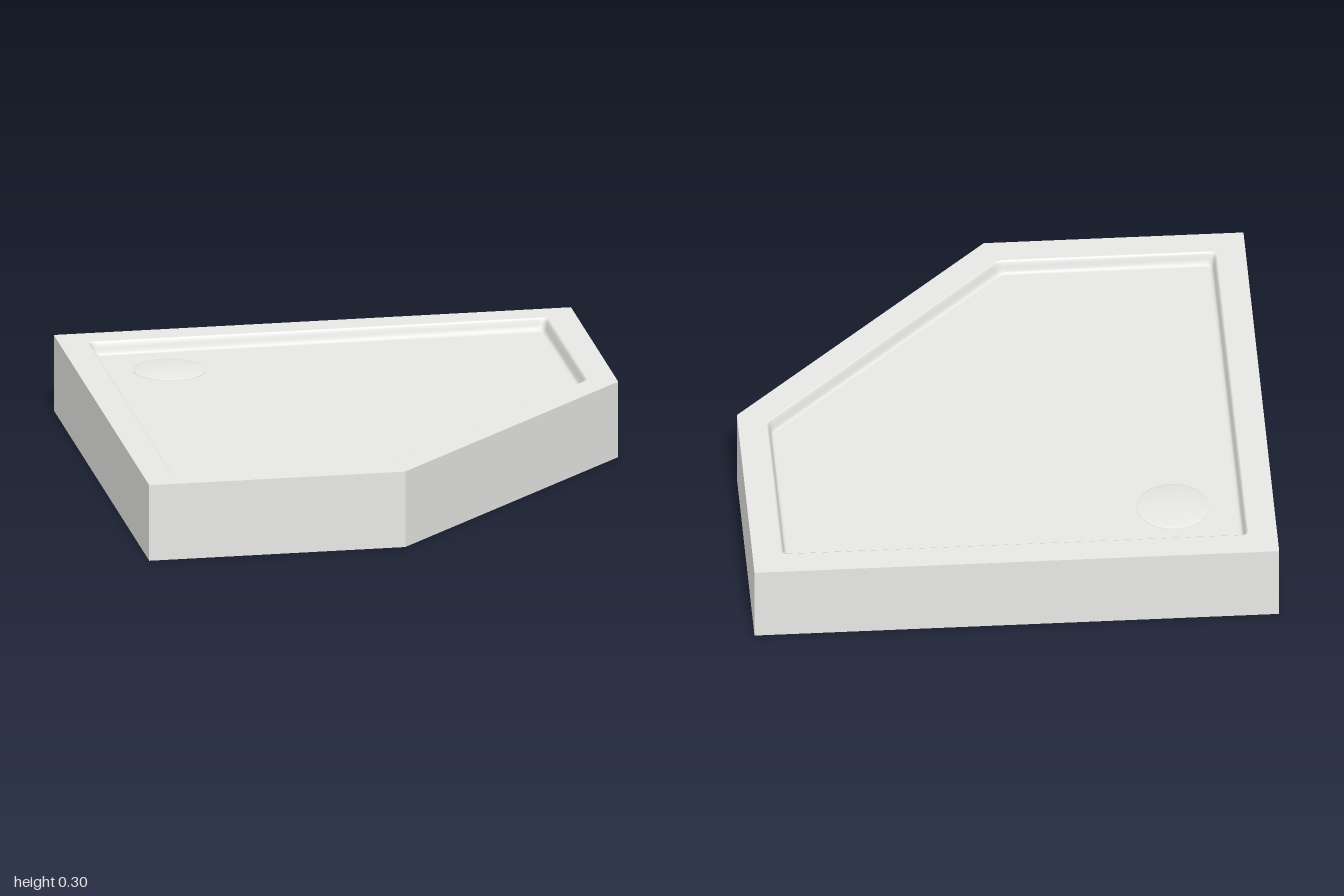
import * as THREE from 'three';

const DRAIN = { x: -0.62, z: -0.63 };

// Corner points [x, z] of the five-sided plan, inset by d from the outside edge
function plan(d) {
  const k = 0.99 - Math.SQRT2 * d, e = 1 - d;
  return [[-e, -e], [e, -e], [e, k - e], [k - e, e], [-e, e]];
}

// The same plan with softly rounded corners
function roundPlan(d, r = 0.025, steps = 5) {
  const p = plan(d).map(([x, z]) => new THREE.Vector2(x, z));
  const out = [];
  p.forEach((c, i) => {
    const prev = p[(i + p.length - 1) % p.length], next = p[(i + 1) % p.length];
    const a = c.clone().add(prev.clone().sub(c).setLength(r));
    const b = c.clone().add(next.clone().sub(c).setLength(r));
    const curve = new THREE.QuadraticBezierCurve(a, c, b);
    curve.getPoints(steps).forEach((q) => out.push([q.x, q.y]));
  });
  return out;
}

function arc(r, from, to, n) {
  return Array.from({ length: n + 1 }, (_, i) => {
    const t = from + ((to - from) * i) / n;
    return [DRAIN.x + r * Math.cos(t), DRAIN.z + r * Math.sin(t)];
  });
}

// Upright prism over an [x, z] outline, with an optional hole wound the other way
function prism(outline, hole, y0, y1) {
  const vec = (pts) => pts.map(([x, z]) => new THREE.Vector2(x, -z));
  const shape = new THREE.Shape(vec(outline));
  if (hole) shape.holes.push(new THREE.Path(vec(hole).reverse()));
  const g = new THREE.ExtrudeGeometry(shape, { depth: y1 - y0, bevelEnabled: false });
  return g.rotateX(-Math.PI / 2).translate(0, y0, 0);
}

// Smooth band through rounded outlines, rows are [inset, y]
function basinBand(rows) {
  const pos = [], idx = [];
  let n = 0;
  rows.forEach(([d, y]) => {
    const loop = roundPlan(d);
    n = loop.length;
    loop.forEach(([x, z]) => pos.push(x, y, z));
  });
  for (let i = 0; i < rows.length - 1; i++) {
    for (let j = 0; j < n; j++) {
      const k = (j + 1) % n;
      const a = i * n + j, b = i * n + k, c = a + n, e = b + n;
      idx.push(a, c, b, b, c, e);
    }
  }
  const g = new THREE.BufferGeometry();
  g.setAttribute('position', new THREE.Float32BufferAttribute(pos, 3));
  g.setIndex(idx);
  g.computeVertexNormals();
  return g;
}

export function createModel() {
  const white = new THREE.MeshStandardMaterial({ color: 0xe7e7e5 });
  white.name = 'white acrylic';
  const beige = new THREE.MeshStandardMaterial({ color: 0xe2d8bc, side: THREE.DoubleSide });
  beige.name = 'beige backing';
  const dark = new THREE.MeshStandardMaterial({ color: 0x2a2e2c });
  dark.name = 'dark drain';

  const group = new THREE.Group();
  group.name = 'showerTray';
  const add = (name, geometry, material) => {
    const mesh = new THREE.Mesh(geometry, material);
    mesh.name = name;
    group.add(mesh);
    return mesh;
  };

  // Outer skirt and the flat rim above it
  add('skirt', prism(plan(0), plan(0.025), 0, 0.14), white);
  add('rim', prism(plan(0), roundPlan(0.11), 0.14, 0.3), white);

  // Soft step down into the basin, and its floor
  add('basinEdge', basinBand([
    [0.11, 0.3], [0.114, 0.298], [0.118, 0.291], [0.122, 0.275],
    [0.126, 0.259], [0.131, 0.252], [0.14, 0.25],
  ]), white);
  add('basinFloor', prism(roundPlan(0.14), null, 0.16, 0.25), white);

  // Shallow domed drain cover with a thin lip
  const dome = [new THREE.Vector2(0.14, 0.25)];
  for (let i = 0; i <= 8; i++) {
    const r = 0.14 * (1 - i / 8);
    dome.push(new THREE.Vector2(r, 0.253 + 0.011 * (1 - (r / 0.14) ** 2)));
  }
  add('drainCover', new THREE.LatheGeometry(dome, 48), white)
    .position.set(DRAIN.x, 0, DRAIN.z);

  // Backing inside the skirt and under the basin, with the drain opening
  add('skirtLining', prism(plan(0.025), plan(0.03), 0.003, 0.14), beige);
  add('underside', prism(plan(0.02), arc(0.095, 0, Math.PI * 2, 40).slice(0, -1), 0.14, 0.16), beige);
  add('drainHole', new THREE.CylinderGeometry(0.1, 0.1, 0.008, 40), dark)
    .position.set(DRAIN.x, 0.15, DRAIN.z);

  // Support block with a round bite around the drain
  const inset = 0.14, R = 0.38, edge = -1 + inset;
  const dx = edge - DRAIN.x, dz = edge - DRAIN.z;
  const from = Math.asin(dz / R), to = Math.acos(dx / R);
  const block = [...plan(inset).slice(1), ...arc(R, to, from, 40)];
  add('supportBlock', prism(block, null, 0.001, 0.14), white);

  return group;
}
